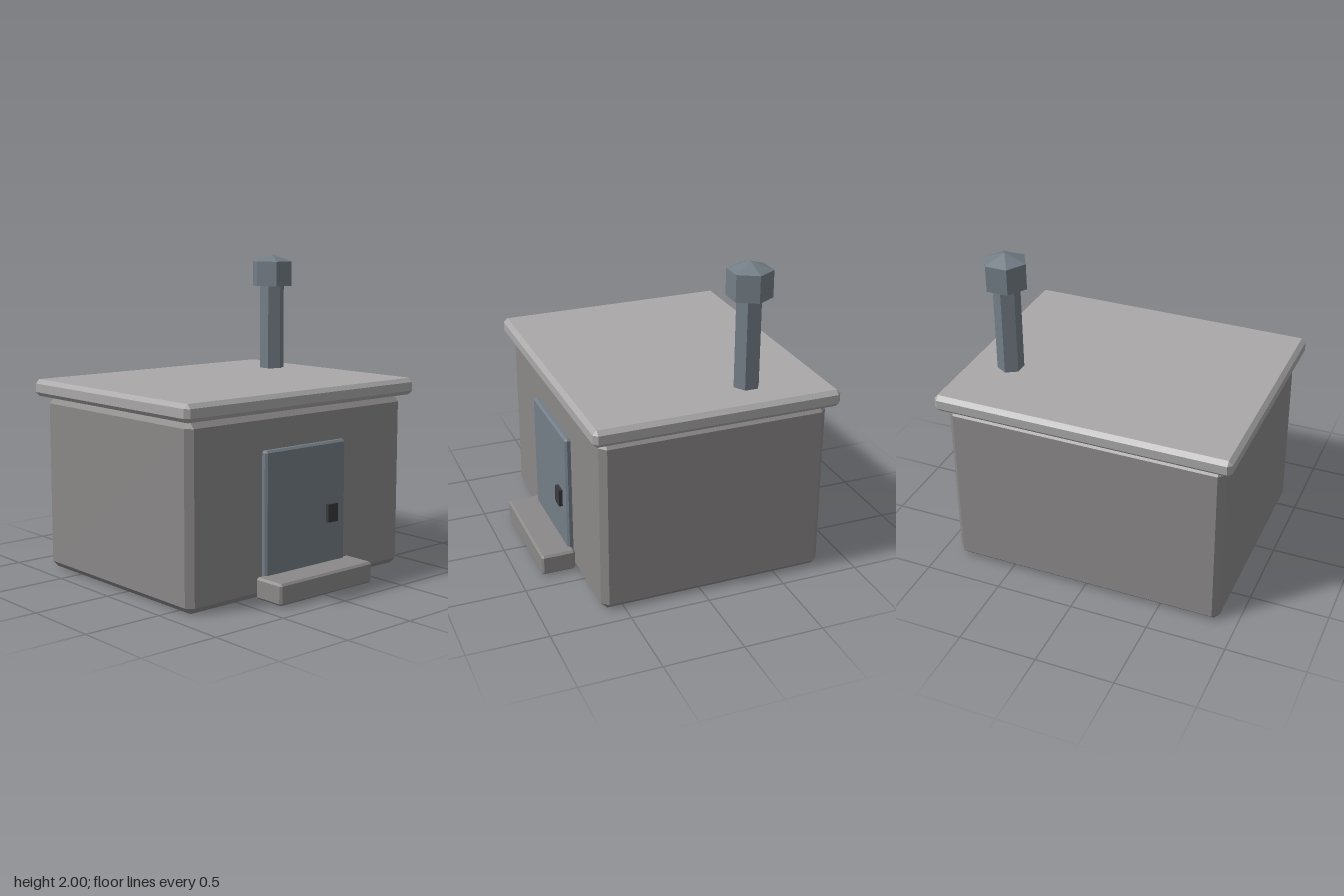
import * as THREE from 'three';
import { ConvexGeometry } from 'three/addons/geometries/ConvexGeometry.js';

const paint = (color) => new THREE.MeshStandardMaterial({ color, flatShading: true });

// Box between two corners with every edge cut at 45 degrees
function chamferBox(min, max, c) {
  const lo = new THREE.Vector3(...min), hi = new THREE.Vector3(...max);
  const centre = lo.clone().add(hi).multiplyScalar(0.5);
  const half = hi.clone().sub(lo).multiplyScalar(0.5);
  const points = [];
  for (const sx of [-1, 1]) for (const sy of [-1, 1]) for (const sz of [-1, 1]) {
    for (const axis of ['x', 'y', 'z']) {
      const p = half.clone().subScalar(c);
      p[axis] = half[axis];
      points.push(p.multiply(new THREE.Vector3(sx, sy, sz)).add(centre));
    }
  }
  return new ConvexGeometry(points);
}

export function createModel() {
  const model = new THREE.Group();
  model.name = 'hut';
  const add = (name, geometry, material) => {
    const mesh = new THREE.Mesh(geometry, material);
    mesh.name = name;
    model.add(mesh);
    return mesh;
  };

  const wall = paint(0x8b8888);
  const roof = paint(0xaaa8a8);
  const steel = paint(0x737d86);
  const dark = paint(0x38383e);

  // Hut body and overhanging slab roof
  add('walls', chamferBox([-0.887, 0, -0.803], [0.887, 1.112, 0.636], 0.04), wall);
  add('roofSlab', chamferBox([-0.943, 1.116, -0.859], [0.943, 1.223, 0.692], 0.026), roof);

  // Door, handle and doorstep
  add('door', chamferBox([-0.333, 0.03, 0.6], [0.333, 0.89, 0.671], 0.013), steel);
  const handle = add('doorHandle', new THREE.BoxGeometry(0.082, 0.112, 0.04), dark);
  handle.position.set(0.206, 0.447, 0.674);
  add('doorstep', chamferBox([-0.387, 0.008, 0.641], [0.387, 0.14, 0.858], 0.013), wall);

  // Six-sided chimney; the cap is turned 30 degrees against the pipe
  const chimney = new THREE.Group();
  chimney.name = 'chimney';
  chimney.position.set(0.665, 0, -0.363);
  model.add(chimney);
  const hexagonal = (name, geometry, y, turn) => {
    const mesh = new THREE.Mesh(geometry, steel);
    mesh.name = name;
    mesh.position.y = y;
    mesh.rotation.y = turn;
    chimney.add(mesh);
  };
  hexagonal('chimneyPipe', new THREE.CylinderGeometry(0.083, 0.083, 0.62, 6), 1.49, 0);
  hexagonal('chimneyCap', new THREE.CylinderGeometry(0.138, 0.138, 0.165, 6), 1.8675, Math.PI / 6);
  hexagonal('chimneyCapRoof', new THREE.ConeGeometry(0.138, 0.05, 6, 1, true), 1.975, Math.PI / 6);

  return model;
}
